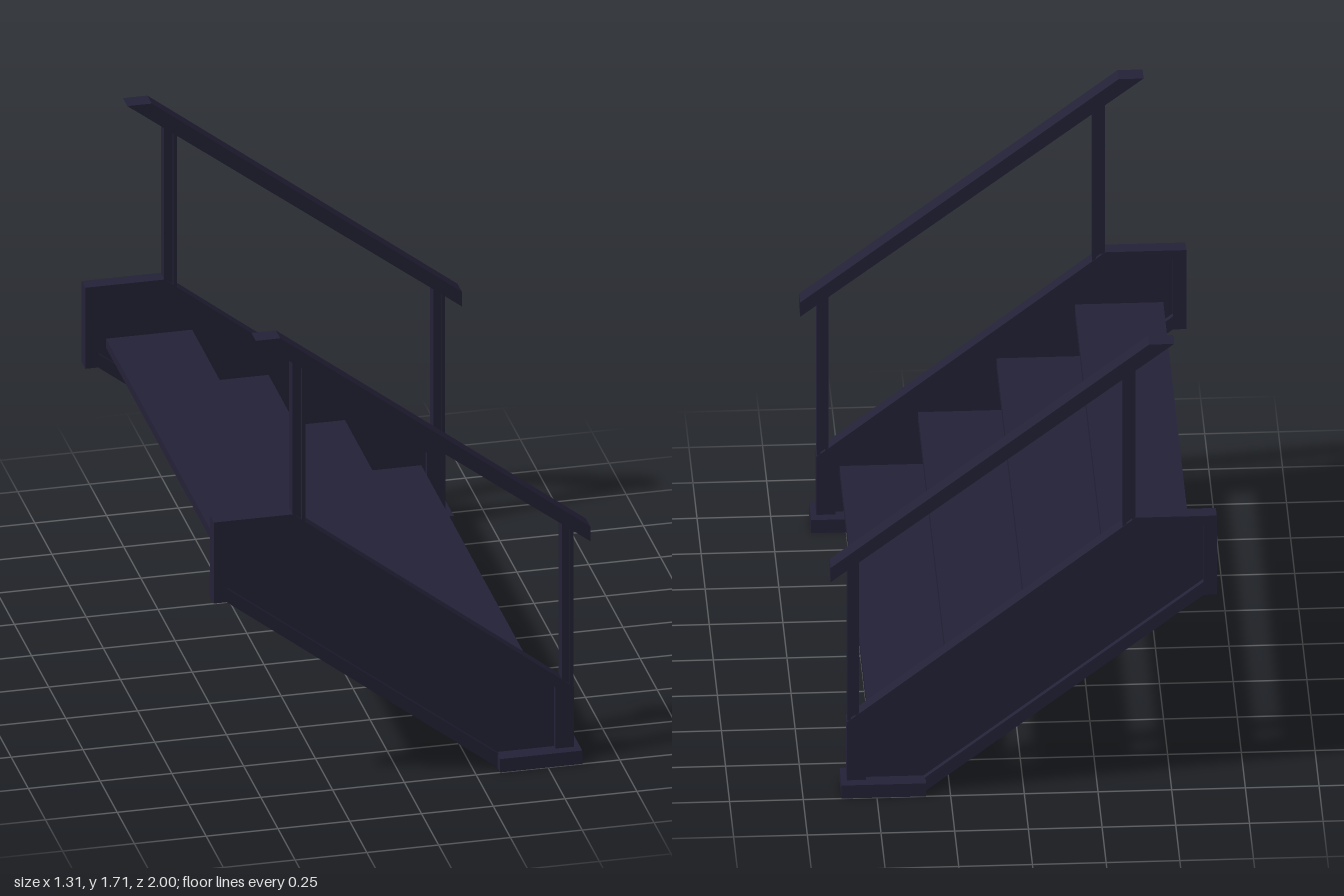
import * as THREE from 'three';

const steel = new THREE.MeshStandardMaterial({ color: 0x232136 });
steel.name = 'dark painted steel';

const polygon = (Type, pts) => new Type(pts.map(([x, y]) => new THREE.Vector2(x, y)));

// Extrude an x-y outline between z0 and z1
function plate(name, outline, z0, z1, hole) {
  const shape = polygon(THREE.Shape, outline);
  if (hole) shape.holes.push(polygon(THREE.Path, hole));
  const geo = new THREE.ExtrudeGeometry(shape, { depth: z1 - z0, bevelEnabled: false });
  geo.translate(0, 0, z0);
  const mesh = new THREE.Mesh(geo, steel);
  mesh.name = name;
  return mesh;
}

function box(name, x0, x1, y0, y1, z0, z1) {
  const mesh = new THREE.Mesh(new THREE.BoxGeometry(x1 - x0, y1 - y0, z1 - z0), steel);
  mesh.position.set((x0 + x1) / 2, (y0 + y1) / 2, (z0 + z1) / 2);
  mesh.name = name;
  return mesh;
}

// Upright with an I-shaped section: two flanges and a web
function post(name, x0, x1, y0, y1, zc) {
  const group = new THREE.Group();
  group.name = name;
  group.add(
    box('postFlange', x0, x0 + 0.012, y0, y1, zc - 0.025, zc + 0.025),
    box('postFlange', x1 - 0.012, x1, y0, y1, zc - 0.025, zc + 0.025),
    box('postWeb', x0 + 0.012, x1 - 0.012, y0, y1, zc - 0.015, zc + 0.015)
  );
  return group;
}

const stringerOutline = [
  [-0.655, 0.73], [-0.61, 0.73], [0.335, 0], [0.6, 0],
  [0.6, 0.274], [-0.38, 1.035], [-0.655, 1.035]
];
const stringerRecess = [
  [-0.61, 0.78], [0.345, 0.045], [0.535, 0.045],
  [0.535, 0.28], [-0.4, 1.0], [-0.61, 1.0]
];
const railOutline = [[-0.51, 1.705], [0.655, 0.82], [0.655, 0.875], [-0.425, 1.705]];

function side(sign) {
  const zc = sign * 0.937;
  const group = new THREE.Group();
  group.name = sign > 0 ? 'frontSide' : 'backSide';
  group.add(
    // Sloping beam: rim around a thin recessed web
    plate('stringerRim', stringerOutline, zc - 0.027, zc + 0.027, stringerRecess),
    plate('stringerWeb', stringerRecess, zc - 0.006, zc + 0.006),
    box('footPlate', 0.333, 0.62, 0, 0.05, zc - 0.063, zc + 0.063),
    // Handrail on two posts
    post('upperPost', -0.38, -0.336, 0.99, 1.61, zc),
    post('lowerPost', 0.558, 0.598, 0.26, 0.896, zc),
    plate('handrail', railOutline, zc - 0.032, zc + 0.032)
  );
  return group;
}

export function createModel() {
  const model = new THREE.Group();
  model.name = 'stairs';
  model.add(side(1), side(-1));

  // Open treads running between the webs
  for (let i = 0; i < 4; i++) {
    const front = 0.52 - i * 0.266;
    const top = 0.225 + i * 0.2;
    model.add(box('tread', front - 0.3, front, top - 0.035, top, -0.932, 0.932));
  }
  return model;
}
